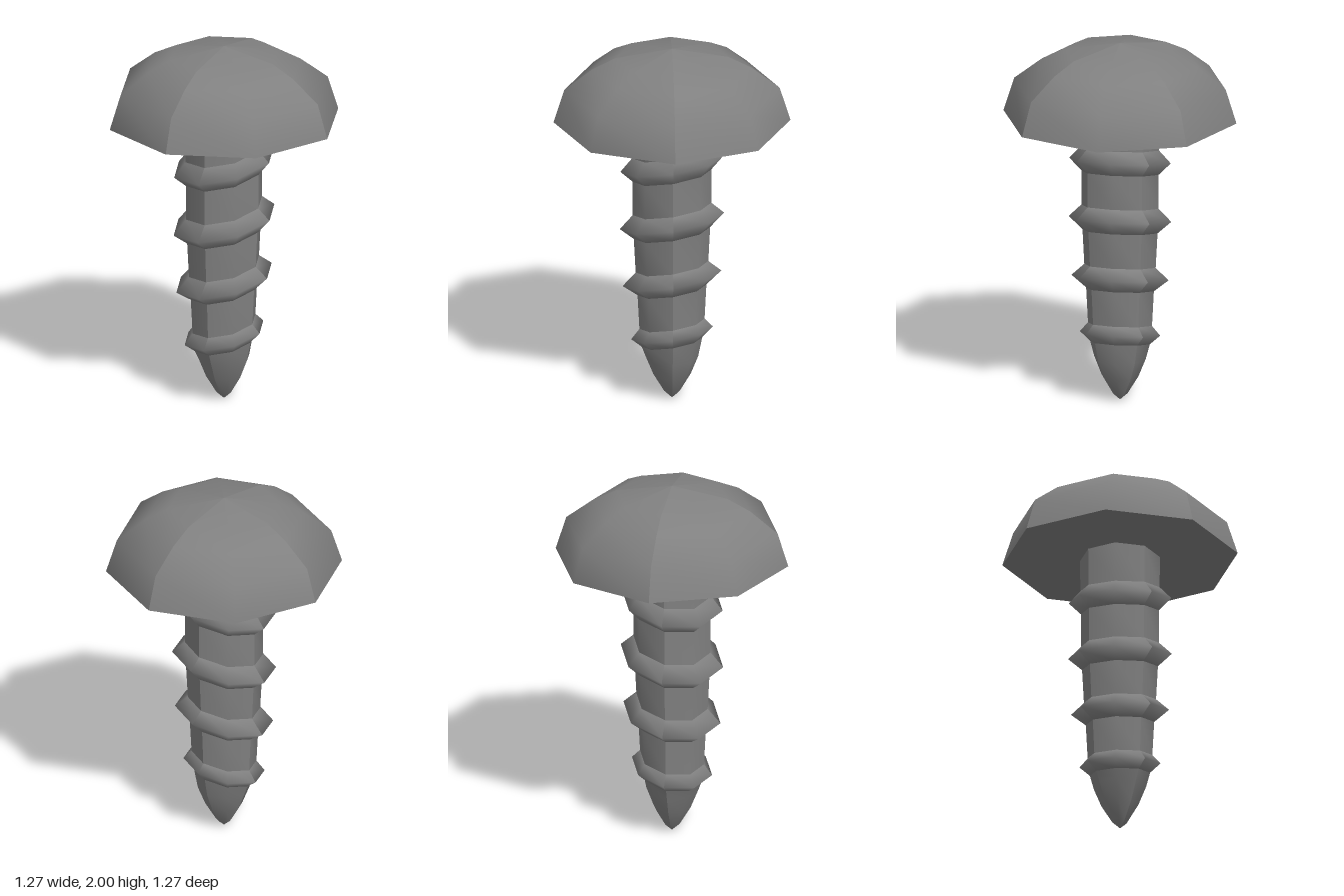
import * as THREE from 'three';
import { mergeGeometries } from 'three/addons/utils/BufferGeometryUtils.js';

// Eight-sided skin of revolution in four quadrants: smooth inside each one, sharp on the diagonals.
// Points run upwards as [radius, y]; tilt(y) gives the slope of that ring along x.
function facetedSkin(points, tilt = () => 0) {
  const profile = points.map(([r, y]) => new THREE.Vector2(r, y));
  const quadrants = [];
  for (let q = 0; q < 4; q++) {
    const g = new THREE.LatheGeometry(profile, 2, Math.PI / 4 + q * Math.PI / 2, Math.PI / 2);
    const p = g.attributes.position;
    for (let i = 0; i < p.count; i++) p.setY(i, p.getY(i) + tilt(p.getY(i)) * p.getX(i));
    g.computeVertexNormals();
    quadrants.push(g);
  }
  return mergeGeometries(quadrants);
}

export function createModel() {
  const group = new THREE.Group();
  const steel = new THREE.MeshStandardMaterial({ color: 0x808080 });
  steel.name = 'grey steel';
  const add = (name, geometry) => {
    const mesh = new THREE.Mesh(geometry, steel);
    mesh.name = name;
    group.add(mesh);
    return mesh;
  };

  // Domed head and its flat underside
  const headBase = 1.585;
  add('head', facetedSkin([[0.633, headBase], [0.575, 1.77], [0.425, 1.887], [0.3, 1.95], [0, 2]]));
  const underside = add('headUnderside', new THREE.CircleGeometry(0.633, 8));
  underside.rotation.x = Math.PI / 2;
  underside.position.y = headBase;

  // Tilted thread ridges, lowest first
  const tilt = (y) => (y > 0.3 && y < 1.45 ? 0.225 : 0);
  const threads = [
    { y: 0.37, half: 0.052, bottom: 0.162, crest: 0.218, top: 0.174 },
    { y: 0.683, half: 0.066, bottom: 0.184, crest: 0.264, top: 0.194 },
    { y: 1.012, half: 0.069, bottom: 0.204, crest: 0.279, top: 0.21 },
    { y: 1.34, half: 0.068, bottom: 0.21, crest: 0.276, top: 0.213 },
  ];

  // Rounded point below the first thread
  const first = threads[0];
  add('tip', facetedSkin([[0, 0], [0.042, 0.038], [0.1, 0.135], [0.14, 0.235],
    [first.bottom, first.y - first.half]], tilt));

  // Each ridge, followed by the plain shank up to the next one or the head
  threads.forEach((t, i) => {
    const next = threads[i + 1];
    const topEdge = [t.top, t.y + t.half];
    add('thread', facetedSkin([[t.bottom, t.y - t.half], [t.crest, t.y], topEdge], tilt));
    add('shank', facetedSkin([topEdge, next ? [next.bottom, next.y - next.half] : [0.215, headBase]], tilt));
  });

  return group;
}
